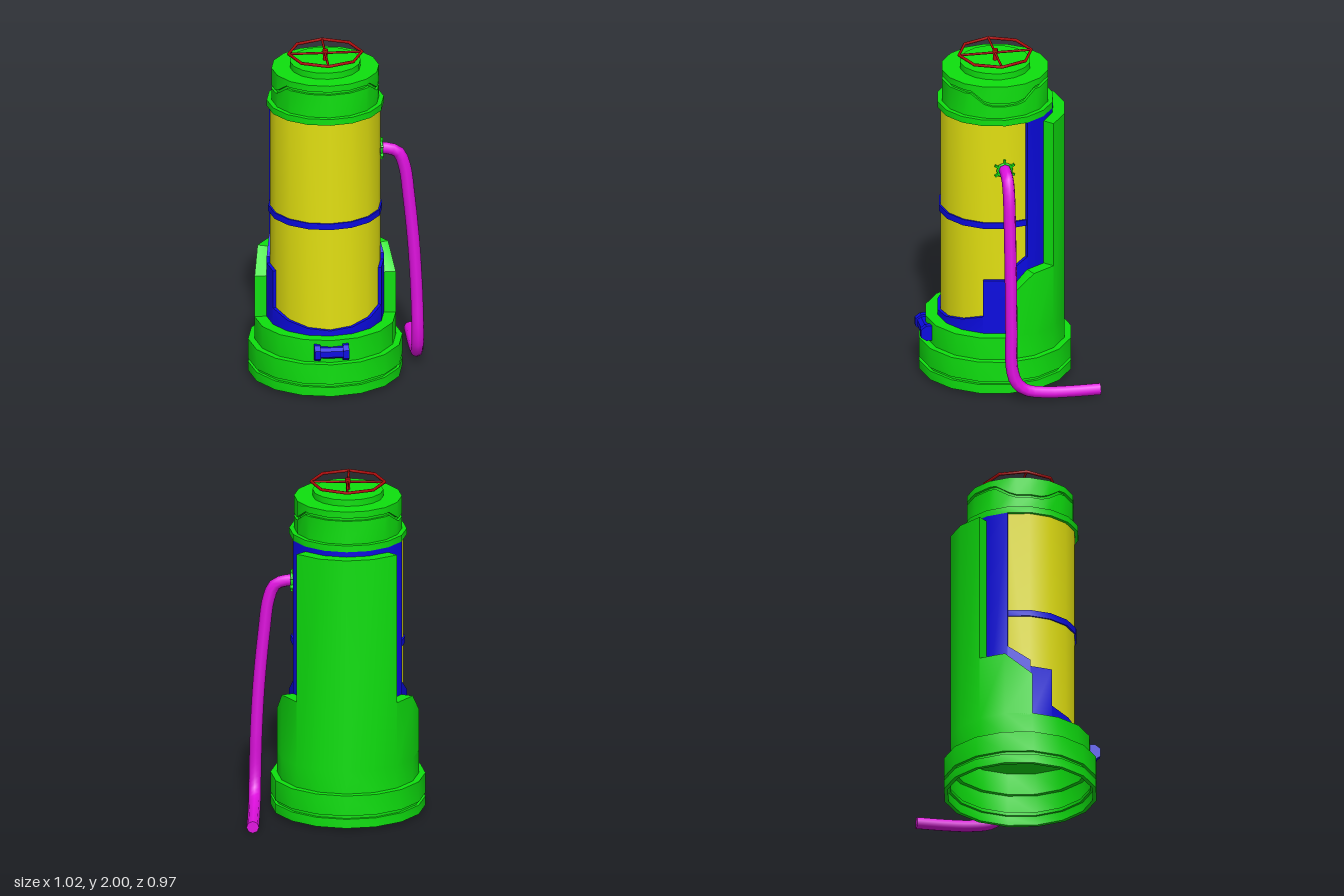
import * as THREE from 'three';
import { toCreasedNormals } from 'three/addons/utils/BufferGeometryUtils.js';

const SIDES = 16;
const rad = THREE.MathUtils.degToRad;
const mat = (color) => new THREE.MeshStandardMaterial({ color, side: THREE.DoubleSide });
const V = (x, y, z) => new THREE.Vector3(x, y, z);

export function createModel() {
  const model = new THREE.Group();
  model.name = 'tankWithHose';
  const tank = new THREE.Group(); // everything round shares this axis
  tank.name = 'tank';
  tank.position.set(-0.065, 0, 0.03);
  model.add(tank);

  const green = mat(0x0ee00e), yellow = mat(0xe2e010), blue = mat(0x0a0ae0);
  const red = mat(0xb40c0c), magenta = mat(0xe010e0);

  function add(parent, name, geometry, material) {
    const mesh = new THREE.Mesh(geometry, material);
    mesh.name = name;
    parent.add(mesh);
    return mesh;
  }
  const lathe = (points) => toCreasedNormals(
    new THREE.LatheGeometry(points.map(([r, y]) => new THREE.Vector2(r, y)), SIDES), 0.6);

  // Curved wall through stations [angle, top, bottom]; 0 deg is +x, 90 deg is the back.
  // Two stations at one angle make a vertical step.
  function wall(rIn, rOut, stations) {
    const step = 360 / SIDES;
    const loops = stations.map(([a, top, bottom]) => {
      const off = ((a % step) + step) % step - step / 2;
      const k = Math.cos(rad(step / 2)) / Math.cos(rad(off)); // stay on the polygon
      const p = (r, y) => V(r * k * Math.cos(rad(a)), y, -r * k * Math.sin(rad(a)));
      return [p(rOut, bottom), p(rOut, top), p(rIn, top), p(rIn, bottom)];
    });
    const pos = [];
    const quad = (a, b, c, d) => [a, b, c, a, c, d].forEach((v) => pos.push(v.x, v.y, v.z));
    for (let i = 0; i < loops.length - 1; i++) {
      for (let j = 0; j < 4; j++) {
        const k = (j + 1) % 4;
        quad(loops[i][j], loops[i + 1][j], loops[i + 1][k], loops[i][k]);
      }
    }
    quad(...loops[0]);
    quad(...loops[loops.length - 1].slice().reverse());
    const g = new THREE.BufferGeometry();
    g.setAttribute('position', new THREE.Float32BufferAttribute(pos, 3));
    return toCreasedNormals(g, 0.6);
  }
  // Mirror half the stations (ending at the back) across the x = 0 plane
  const mirrored = (half) => [...half,
    ...half.slice(0, -1).reverse().map(([a, ...ys]) => [180 - a, ...ys])];

  // Hollow base with a groove
  add(tank, 'base', lathe([[0, 0.33], [0.4, 0.33], [0.4, 0.2], [0.425, 0.2], [0.425, 0.09],
    [0.41, 0.09], [0.41, 0.07], [0.425, 0.07], [0.425, 0.015], [0.448, 0.015], [0.448, 0.07],
    [0.43, 0.07], [0.43, 0.09], [0.448, 0.09], [0.448, 0.212], [0.41, 0.212], [0.41, 0.348],
    [0, 0.348]]), green);

  // Body, belt and neck
  add(tank, 'body', lathe([[0.321, 0.34], [0.321, 1.67]]), yellow);
  add(tank, 'belt', lathe([[0.31, 1.005], [0.331, 1.005], [0.331, 1.042], [0.31, 1.042]]), blue);
  add(tank, 'neckAndCap', lathe([[0, 1.66], [0.34, 1.66], [0.34, 1.698], [0.296, 1.698],
    [0.296, 1.88], [0.205, 1.89], [0.205, 1.933], [0, 1.933]]), green);

  // Blue liner: low at the front, stepped at the sides, full height at the back
  add(tank, 'liner', wall(0.318, 0.34, mirrored([
    [-90, 0.38], [-67.5, 0.39], [-45, 0.415], [-22.5, 0.45], [-22.5, 0.68], [0, 0.68],
    [0, 0.72], [22.5, 0.81], [22.5, 1.66], [45, 1.66], [67.5, 1.66], [90, 1.66],
  ].map(([a, top]) => [a, top, 0.345]))), blue);

  // Green back shield with low shoulders
  add(tank, 'backShield', wall(0.335, 0.41, mirrored([
    [0, 0.6], [22.5, 0.73], [45, 0.73], [45, 1.63], [67.5, 1.63], [90, 1.63],
  ].map(([a, top]) => [a, top, 0.34]))), green);

  // Head and lid, parted by a seam that dips at each side
  const seam = mirrored([[-90, 1.838], [-67.5, 1.838], [-45, 1.838], [-38, 1.838], [-22.5, 1.785],
    [-14, 1.77], [0, 1.77], [14, 1.77], [22.5, 1.785], [38, 1.838], [45, 1.838],
    [67.5, 1.838], [90, 1.838]]);
  add(tank, 'head', wall(0.28, 0.312, seam.map(([a, y]) => [a, y, 1.69])), green);
  add(tank, 'lid', wall(0.28, 0.312, seam.map(([a, y]) => [a, 1.895, y + 0.018])), green);
  add(tank, 'lidTop', lathe([[0.2, 1.895], [0.28, 1.895]].reverse()), green);

  // Octagonal hand wheel
  const wheel = new THREE.Group();
  wheel.name = 'handWheel';
  wheel.position.y = 1.978;
  tank.add(wheel);
  const rim = add(wheel, 'wheelRim', new THREE.TorusGeometry(0.213, 0.009, 6, 8), red);
  rim.rotation.x = Math.PI / 2;
  for (const turn of [0, Math.PI / 2]) {
    const spoke = add(wheel, 'wheelSpoke', new THREE.CylinderGeometry(0.007, 0.007, 0.426, 6), red);
    spoke.rotation.set(0, turn, Math.PI / 2);
  }
  add(wheel, 'wheelStem', new THREE.CylinderGeometry(0.012, 0.012, 0.06, 8), red).position.y = -0.02;
  add(wheel, 'wheelHub', new THREE.CylinderGeometry(0.016, 0.016, 0.03, 8), red).position.y = 0.007;

  // Hose from the left side down and away to the back
  const path = new THREE.CatmullRomCurve3([
    V(0.25, 1.377, 0.035), V(0.31, 1.37, 0.035), V(0.36, 1.345, 0.035), V(0.395, 1.26, 0.035),
    V(0.42, 1.07, 0.035), V(0.45, 0.75, 0.035), V(0.466, 0.45, 0.035), V(0.472, 0.21, 0.032),
    V(0.473, 0.12, 0.005), V(0.473, 0.07, -0.05), V(0.473, 0.046, -0.17), V(0.473, 0.04, -0.3),
    V(0.473, 0.04, -0.486)]);
  add(model, 'hose', new THREE.TubeGeometry(path, 48, 0.036, 8), magenta);
  const hoseEnd = add(model, 'hoseEnd', new THREE.CircleGeometry(0.036, 8), magenta);
  hoseEnd.position.set(0.473, 0.04, -0.486);
  hoseEnd.rotation.y = Math.PI;

  // Hose coupling: ring with small lugs
  const coupling = new THREE.Group();
  coupling.name = 'hoseCoupling';
  coupling.position.set(0.26, 1.375, 0.035);
  coupling.rotation.y = Math.PI / 2;
  model.add(coupling);
  add(coupling, 'couplingRing', new THREE.TorusGeometry(0.042, 0.008, 6, 8), green);
  for (let i = 0; i < 6; i++) {
    const a = rad(30 + i * 60);
    const lug = add(coupling, 'couplingLug', new THREE.BoxGeometry(0.026, 0.012, 0.016), green);
    lug.position.set(Math.cos(a) * 0.053, Math.sin(a) * 0.053, 0);
    lug.rotation.z = a;
  }

  // Front handle: two end blocks and a slimmer grip, sharing one bevelled profile
  function handlePart(name, x, width, s) {
    const profile = new THREE.Shape([[0.034, -0.046], [0.034, 0.046], [0, 0.046], [-0.031, 0.024],
      [-0.031, -0.024], [0, -0.046]].map(([z, y]) => new THREE.Vector2(z * s, y * s)));
    const g = new THREE.ExtrudeGeometry(profile, { depth: width, bevelEnabled: false });
    const part = add(model, name, g, blue);
    part.rotation.y = Math.PI / 2;
    part.position.set(x, 0.276, 0.453);
  }
  handlePart('handleEnd', -0.165, 0.035, 1);
  handlePart('handleEnd', 0, 0.035, 1);
  handlePart('handleGrip', -0.132, 0.134, 0.72);

  return model;
}
